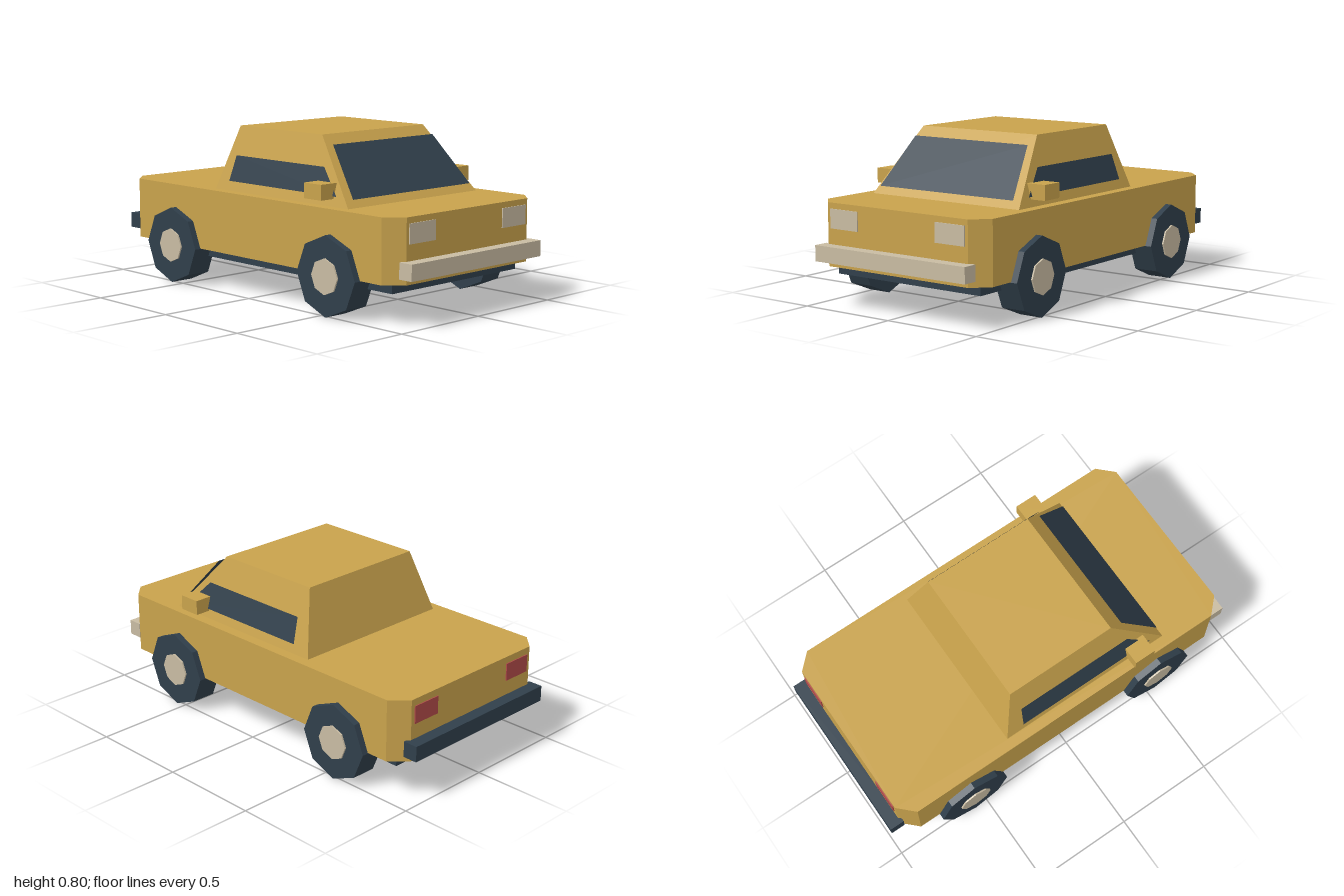
import * as THREE from 'three';

const mat = (name, color, side = THREE.FrontSide) => {
  const m = new THREE.MeshStandardMaterial({ color, side, flatShading: true });
  m.name = name;
  return m;
};

export function createModel() {
  const car = new THREE.Group();
  car.name = 'car';
  const paint = mat('ochre paint', 0xc8a24c);
  const dark = mat('charcoal', 0x303f4b, THREE.DoubleSide);
  const chrome = mat('pale metal', 0xc8bba2);
  const red = mat('tail red', 0xb04a48);

  const add = (name, geometry, material) => {
    const mesh = new THREE.Mesh(geometry, material);
    mesh.name = name;
    car.add(mesh);
    return mesh;
  };
  // Box given by its lower and upper limits on each axis
  const box = (name, material, [x0, x1], [y0, y1], [z0, z1]) =>
    add(name, new THREE.BoxGeometry(x1 - x0, y1 - y0, z1 - z0)
      .translate((x0 + x1) / 2, (y0 + y1) / 2, (z0 + z1) / 2), material);
  // Flat four-cornered pane
  const pane = (name, corners) => {
    const g = new THREE.BufferGeometry();
    g.setAttribute('position', new THREE.Float32BufferAttribute(corners.flat(), 3));
    g.setIndex([0, 1, 2, 0, 2, 3]);
    g.computeVertexNormals();
    return add(name, g, dark);
  };

  // Lower body: a slab with chamfered corners
  const w = 0.486, l = 0.94, cx = 0.41, cz = 0.863;
  const outline = new THREE.Shape([
    [-w, -cz], [-cx, -l], [cx, -l], [w, -cz], [w, cz], [cx, l], [-cx, l], [-w, cz],
  ].map(([x, y]) => new THREE.Vector2(x, y)));
  add('body', new THREE.ExtrudeGeometry(outline, { depth: 0.3, bevelEnabled: false })
    .rotateX(-Math.PI / 2).translate(0, 0.19, 0), paint);
  box('chassis', dark, [-0.42, 0.42], [0.142, 0.192], [-0.865, 0.865]);

  // Cabin: a box tapered towards the roof
  const cabin = new THREE.BoxGeometry(2, 1, 2);
  const p = cabin.attributes.position;
  for (let i = 0; i < p.count; i++) {
    const top = p.getY(i) > 0, front = p.getZ(i) > 0;
    p.setXYZ(i, Math.sign(p.getX(i)) * (top ? 0.34 : 0.434), top ? 0.798 : 0.488,
      front ? (top ? 0.338 : 0.605) : (top ? -0.235 : -0.316));
  }
  cabin.computeVertexNormals();
  add('cabin', cabin, paint);

  // Windscreen stands slightly proud of the cabin
  pane('windscreen', [
    [-0.395, 0.528, 0.596], [0.395, 0.528, 0.596], [0.335, 0.756, 0.405], [-0.335, 0.756, 0.405],
  ]);

  // Bumpers
  box('frontBumper', chrome, [-0.44, 0.44], [0.219, 0.295], [0.926, 1]);
  box('rearBumper', dark, [-0.44, 0.44], [0.219, 0.295], [-1, -0.926]);

  for (const [side, s] of [['left', 1], ['right', -1]]) {
    const span = (a, b) => (s > 0 ? [a, b] : [-b, -a]);
    pane(side + 'SideWindow', [
      [s * 0.43, 0.537, 0.524], [s * 0.43, 0.537, -0.219],
      [s * 0.392, 0.659, -0.207], [s * 0.392, 0.659, 0.406],
    ]);
    box(side + 'Mirror', paint, span(0.4, 0.5), [0.524, 0.596], [0.387, 0.498]);
    box(side + 'Headlight', chrome, span(0.228, 0.394), [0.37, 0.462], [0.938, 0.945]);
    box(side + 'TailLight', red, span(0.24, 0.39), [0.37, 0.456], [-0.945, -0.938]);

    // Octagonal wheels with hubcaps
    for (const [end, z] of [['Front', 0.545], ['Rear', -0.565]]) {
      const wheel = (name, material, r, x0, x1) => {
        const g = new THREE.CylinderGeometry(r, r, x1 - x0, 8).rotateZ(Math.PI / 2);
        add(side + end + name, g, material).position.set(s * (x0 + x1) / 2, 0.188, z);
      };
      wheel('Tyre', dark, 0.188, 0.394, 0.519);
      wheel('Hubcap', chrome, 0.084, 0.45, 0.527);
    }
  }
  return car;
}
